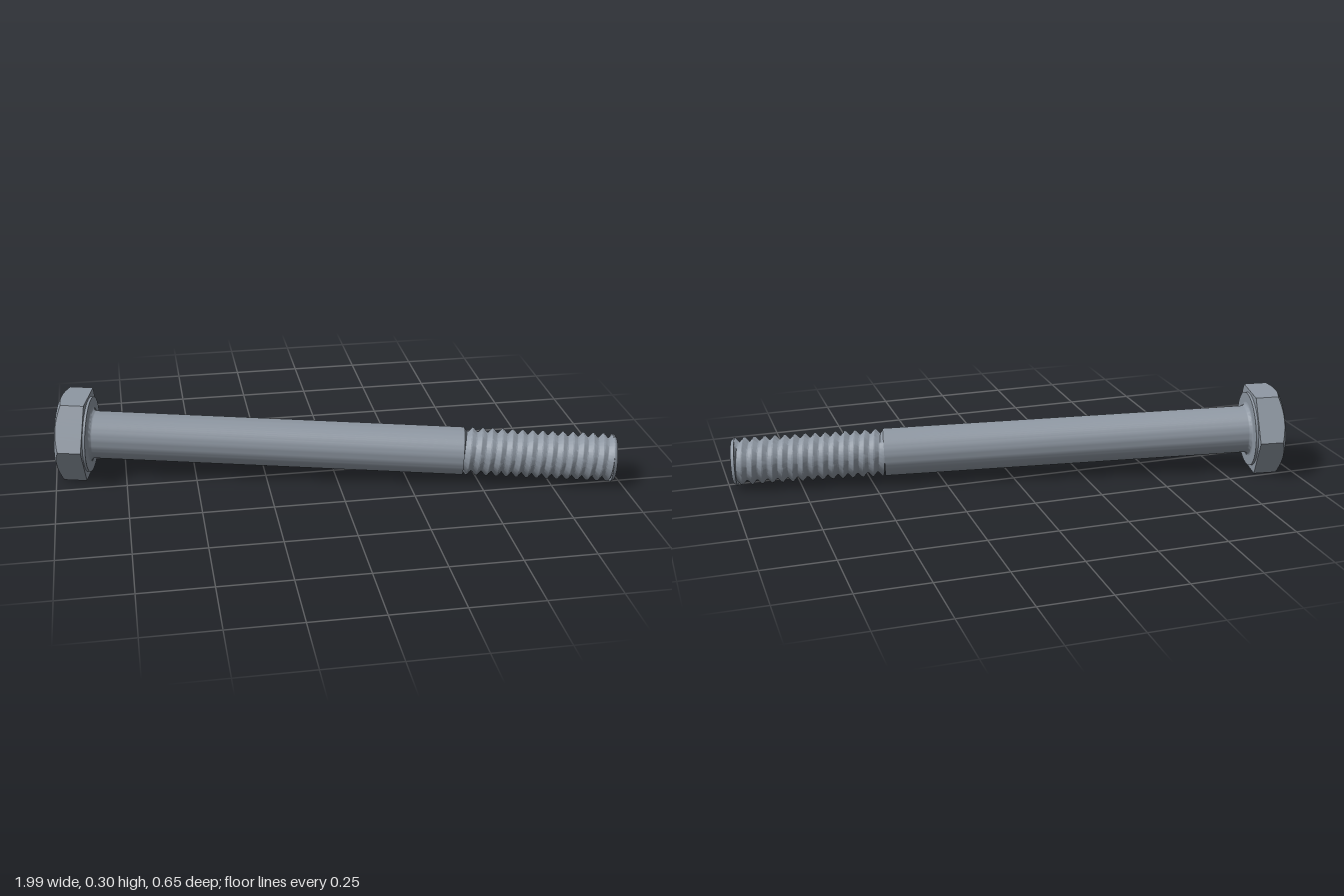
import * as THREE from 'three';
import { toCreasedNormals } from 'three/addons/utils/BufferGeometryUtils.js';

const LENGTH = 1.992, THREAD_START = 1.45, PITCH = 0.036;
const R = 0.086, ROOT = 0.071, TIP = 0.077;      // shank, thread root and tip radii
const FLAT = 0.1465, FACE = 0.138;               // half width across flats, chamfer circle

// Surface swept around the x axis; point(row, angle) returns [distance along axis, radius]
function sweep(rows, segments, point) {
  const positions = [], index = [];
  for (let i = 0; i < rows; i++) {
    for (let j = 0; j <= segments; j++) {
      const a = (j / segments) * Math.PI * 2;
      const [s, r] = point(i, a);
      positions.push(s, r * Math.sin(a), r * Math.cos(a));
    }
  }
  const w = segments + 1;
  for (let i = 0; i < rows - 1; i++) {
    for (let j = 0; j < segments; j++) {
      const p = i * w + j;
      index.push(p, p + w, p + 1, p + 1, p + w, p + w + 1);
    }
  }
  const geometry = new THREE.BufferGeometry();
  geometry.setAttribute('position', new THREE.Float32BufferAttribute(positions, 3));
  geometry.setIndex(index);
  return toCreasedNormals(geometry, 0.85);
}

const revolve = (profile) => sweep(profile.length, 72, (i) => profile[i]);

// Hexagon radius at an angle, with corners every 60 degrees
function hexRadius(a) {
  const third = Math.PI / 3;
  const local = ((a % third) + third) % third;
  return FLAT / Math.cos(local - third / 2);
}

export function createModel() {
  const steel = new THREE.MeshStandardMaterial({ color: 0x8f98a3 });
  steel.name = 'steel grey';
  const bolt = new THREE.Group();
  bolt.name = 'hexBolt';
  const add = (name, geometry) => {
    const mesh = new THREE.Mesh(geometry, steel);
    mesh.name = name;
    bolt.add(mesh);
  };

  // Hexagonal head with a conical chamfer on its outer face
  add('hexHead', sweep(5, 72, (i, a) => {
    const h = hexRadius(a);
    return [[0, 0], [0, FACE], [(h - FACE) * 0.577, h], [0.1, h], [0.1, 0.08]][i];
  }));

  // Thin washer face under the head
  add('washerFace', revolve([[0.1, 0.136], [0.109, 0.136], [0.109, 0.08]]));

  // Plain shank with a fillet where it meets the head
  const shank = [];
  for (let k = 0; k <= 5; k++) {
    const t = (k / 5) * Math.PI / 2;
    shank.push([0.109 + 0.014 * (1 - Math.cos(t)), R + 0.014 * (1 - Math.sin(t))]);
  }
  shank.push([THREAD_START, R], [THREAD_START, ROOT - 0.003]);
  add('shank', revolve(shank));

  // Helical thread: crest and root rows shifted by the angle, trimmed at both ends
  const end = LENGTH - (R - TIP);
  const turns = Math.ceil((end - THREAD_START) / PITCH) + 1;
  const tooth = [[0, ROOT], [0.12, ROOT], [0.5, R], [0.62, R]];
  add('thread', sweep(turns * 4 + 1, 72, (i, a) => {
    const [offset, r] = tooth[i % 4];
    const s = THREAD_START + PITCH * (Math.floor(i / 4) + offset - 1 + a / (Math.PI * 2));
    return [THREE.MathUtils.clamp(s, THREAD_START, end), r];
  }));

  // Chamfered tip
  add('tip', revolve([[end - 0.004, ROOT], [end - 0.004, R], [end, R], [LENGTH, TIP], [LENGTH, 0]]));

  // Lay the bolt down at a slight angle
  bolt.rotation.set(0, -0.207, -0.03, 'YZX');
  bolt.position.set(-0.968, 0.15, -0.166);
  const model = new THREE.Group();
  model.name = 'bolt';
  model.add(bolt);
  return model;
}
